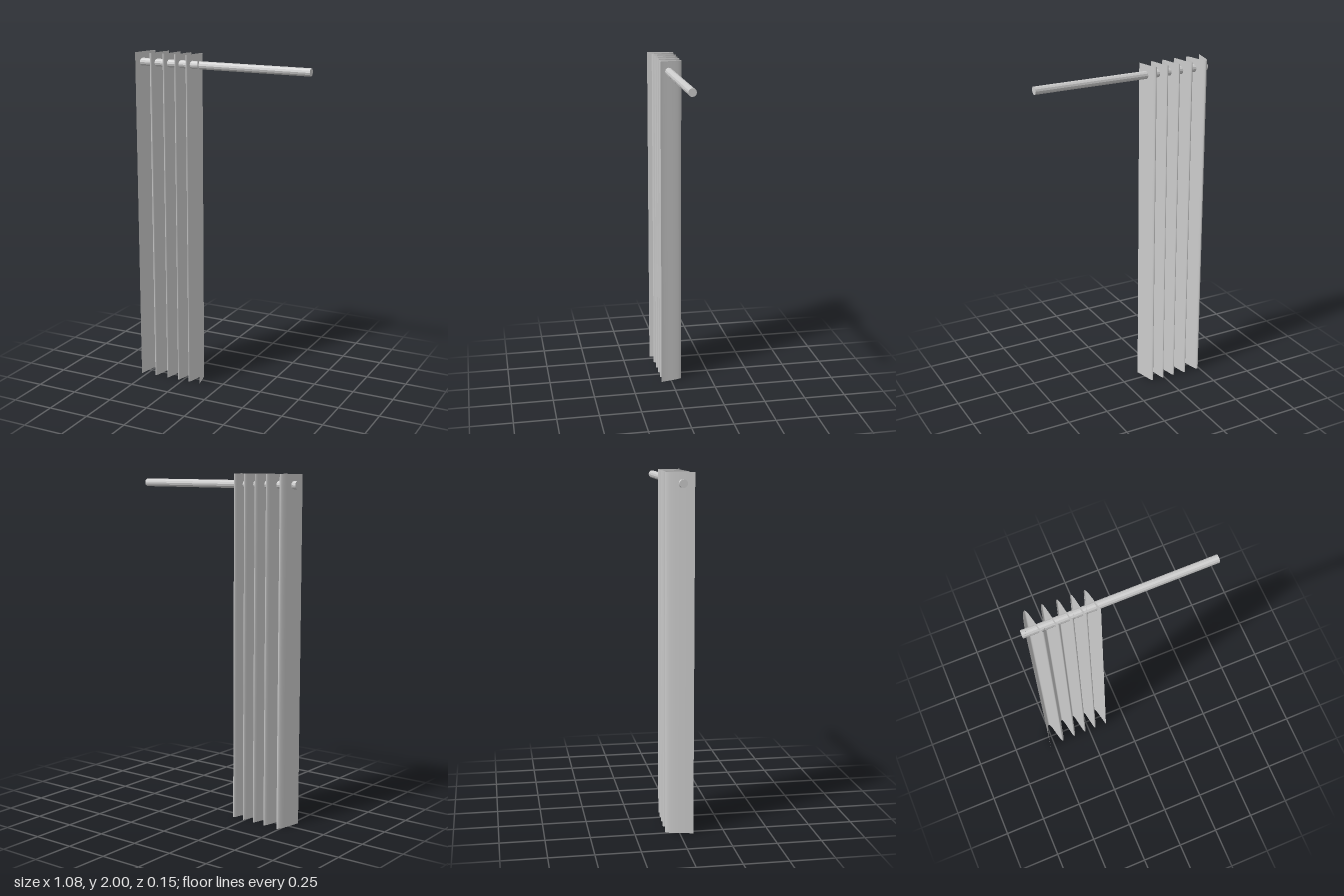
import * as THREE from 'three';

// Fold extremes of the curtain as [x, z], alternating front and back
const FOLDS = [
  [-0.53, 0.075], [-0.485, -0.078], [-0.438, 0.062], [-0.393, -0.077],
  [-0.355, 0.06], [-0.314, -0.072], [-0.279, 0.06], [-0.24, -0.069],
  [-0.206, 0.06], [-0.168, -0.066], [-0.13, 0.063],
];
const STEPS = 12; // segments per half fold

// Point on the pleat line: half cosine waves, with open ends that do not curl over
function pleat(i) {
  const k = Math.min(Math.floor(i / STEPS), FOLDS.length - 2);
  const t = i / STEPS - k;
  const [x0, z0] = FOLDS[k], [x1, z1] = FOLDS[k + 1];
  let w = (1 - Math.cos(Math.PI * t)) / 2;
  if (k === 0) w = Math.sin(Math.PI * t / 2);
  if (k === FOLDS.length - 2) w = (1 - Math.cos(Math.PI * 0.8 * t)) / (1 - Math.cos(Math.PI * 0.8));
  return [x0 + (x1 - x0) * t, z0 + (z1 - z0) * w];
}

export function createModel() {
  const group = new THREE.Group();

  // Pleated curtain: a flat sheet whose columns follow the pleat line
  const columns = (FOLDS.length - 1) * STEPS;
  const sheet = new THREE.PlaneGeometry(1, 2, columns, 1);
  sheet.translate(0, 1, 0);
  const pos = sheet.attributes.position;
  for (let v = 0; v < pos.count; v++) {
    const [x, z] = pleat(v % (columns + 1));
    pos.setX(v, x);
    pos.setZ(v, z);
  }
  sheet.computeVertexNormals();
  const curtain = new THREE.Mesh(sheet,
    new THREE.MeshStandardMaterial({ color: 0xcccccc, side: THREE.DoubleSide }));
  curtain.name = 'curtain';
  group.add(curtain);

  // Rod running through the folds
  const rod = new THREE.Mesh(new THREE.CylinderGeometry(0.023, 0.023, 1.08, 12),
    new THREE.MeshStandardMaterial({ color: 0xcccccc, flatShading: true }));
  rod.rotation.z = Math.PI / 2;
  rod.position.set(0, 1.94, 0.012);
  rod.name = 'rod';
  group.add(rod);

  return group;
}
